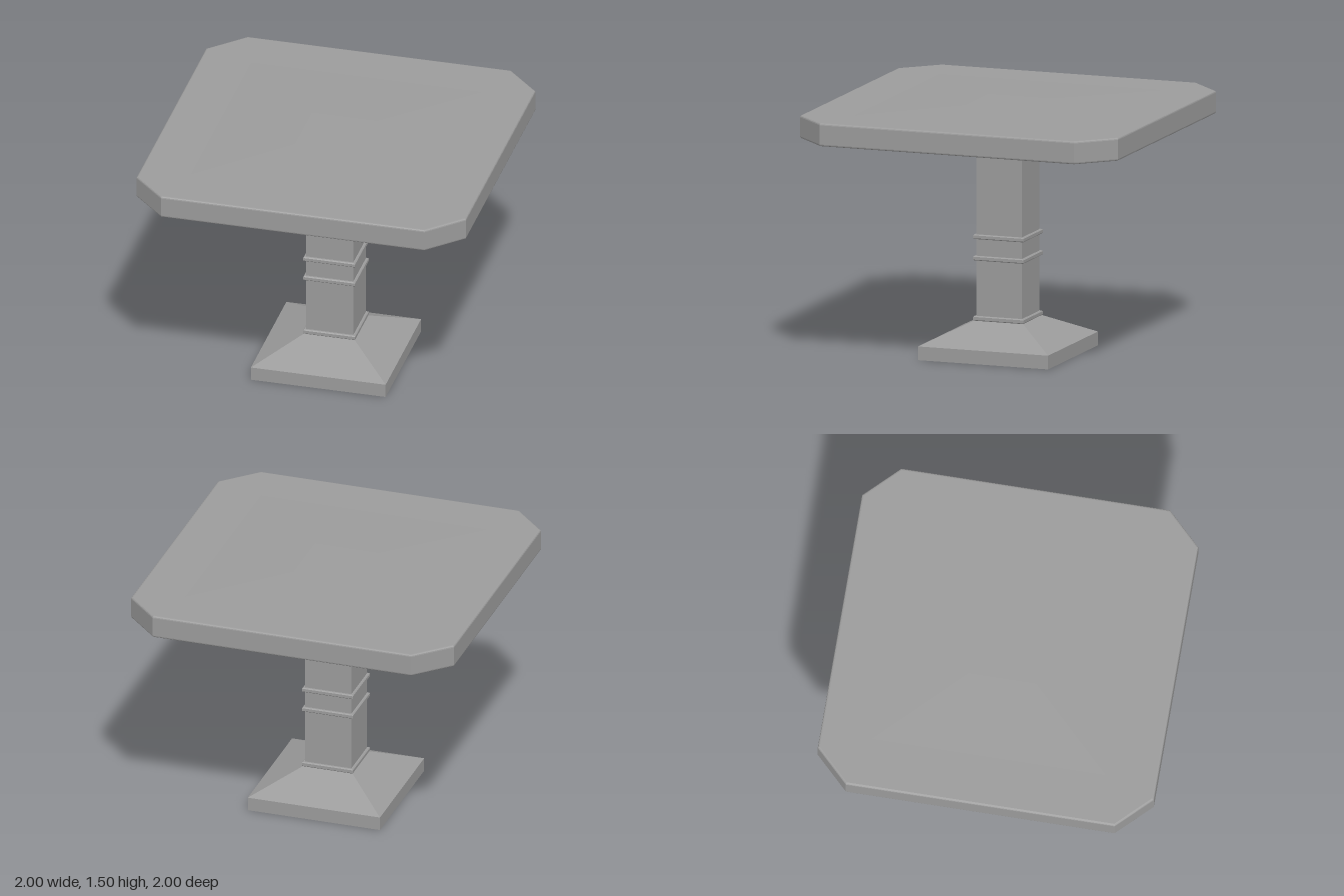
import * as THREE from 'three';

const material = new THREE.MeshStandardMaterial({ color: 0x9b9b9b, flatShading: true, side: THREE.DoubleSide });

// Square-section part swept from a profile of [half width, height] points
function squareSweep(name, profile) {
  const points = profile.map(([w, y]) => new THREE.Vector2(w * Math.SQRT2, y));
  const mesh = new THREE.Mesh(new THREE.LatheGeometry(points, 4, Math.PI / 4), material);
  mesh.name = name;
  return mesh;
}

// Raised square band with softened edges around the column
function band(y0, y1) {
  const outer = 0.158, inner = 0.143, e = 0.005;
  return [[inner, y0], [outer - e, y0], [outer, y0 + e], [outer, y1 - e], [outer - e, y1], [inner, y1]];
}

export function createModel() {
  const table = new THREE.Group();
  table.name = 'pedestalTable';

  // Hollow foot, open underneath
  table.add(squareSweep('foot', [[0.409, 0], [0.409, 0.082], [0.155, 0.208], [0.143, 0.208]]));

  // Column with four bands
  table.add(squareSweep('column', [
    ...band(0.208, 0.236), ...band(0.568, 0.595), ...band(0.696, 0.723), ...band(1.243, 1.272),
  ]));

  // Flared support under the top
  table.add(squareSweep('support', [[0.143, 1.272], [0.155, 1.272], [0.285, 1.313], [0.49, 1.357]]));

  // Top with cut corners and a small bevel
  const outline = new THREE.Shape([
    [0.8, -1], [1, -0.8], [1, 0.8], [0.8, 1], [-0.8, 1], [-1, 0.8], [-1, -0.8], [-0.8, -1],
  ].map(([x, z]) => new THREE.Vector2(x, z)));
  const bevel = 0.012;
  const slab = new THREE.ExtrudeGeometry(outline, {
    depth: 0.138 - 2 * bevel, bevelEnabled: true, bevelSize: bevel,
    bevelThickness: bevel, bevelOffset: -bevel, bevelSegments: 3,
  });
  slab.rotateX(-Math.PI / 2);
  slab.translate(0, 1.354 + bevel, 0);
  const top = new THREE.Mesh(slab, material);
  top.name = 'tableTop';
  table.add(top);

  // Very shallow rise across the top surface
  table.add(squareSweep('topCrown', [[0.78, 1.491], [0.2, 1.498], [0, 1.498]]));

  return table;
}
